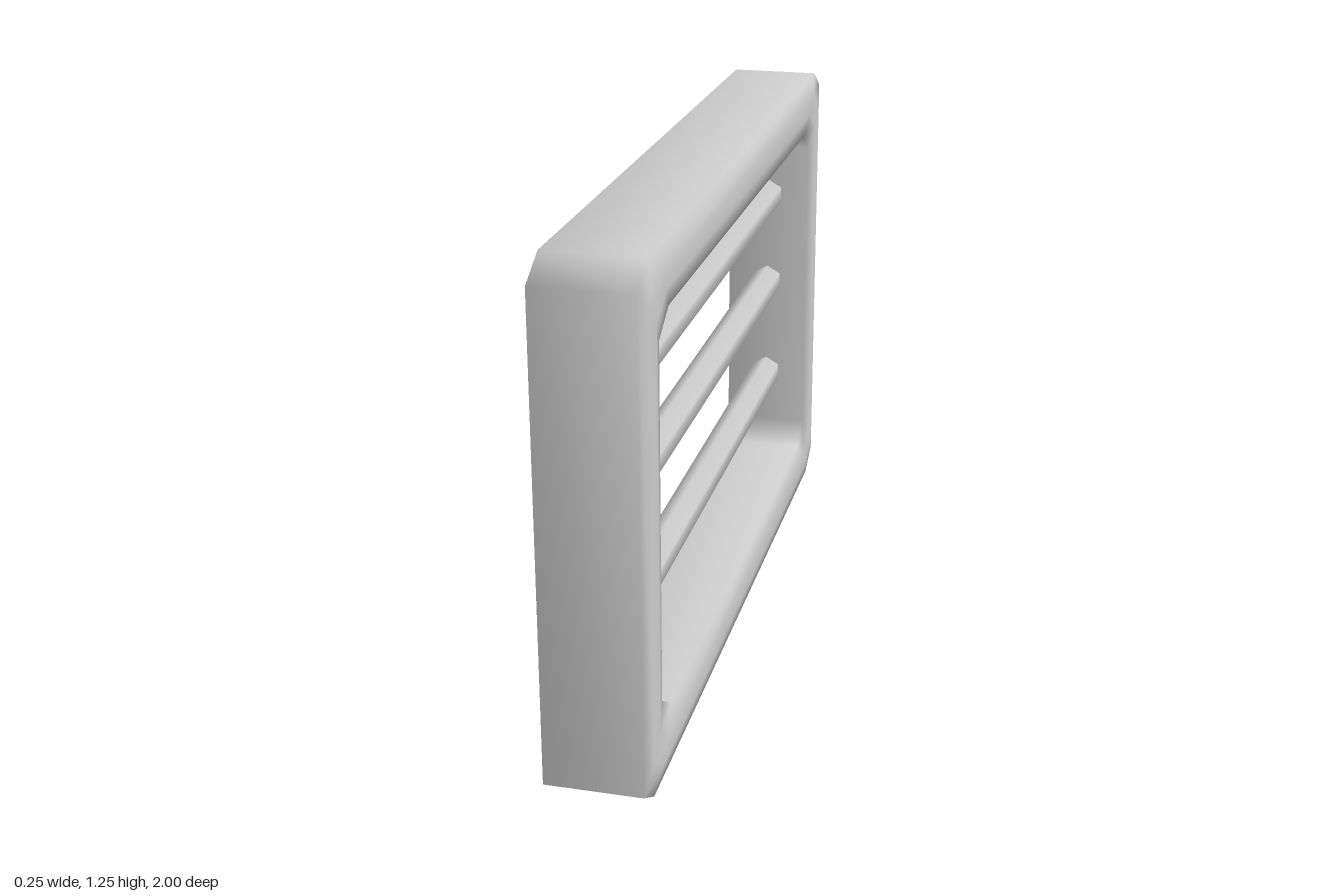
import * as THREE from 'three';

const material = new THREE.MeshStandardMaterial({ color: 0xcccccc });
const CENTRE_Y = 0.625;

// Rectangle with cut corners, as [z, y] pairs running from +z towards +y
function cutRectangle(halfZ, halfY, cutZ, cutY) {
  const points = [];
  for (const [sz, sy] of [[1, 1], [-1, 1], [-1, -1], [1, -1]]) {
    const pair = [
      [sz * halfZ, sy * (halfY - cutY)],
      [sz * (halfZ - cutZ), sy * halfY],
    ];
    points.push(...(sz * sy > 0 ? pair : pair.reverse()));
  }
  return points;
}

// Closed ring: a slightly bevelled section carried round the outline
function frameGeometry() {
  const outer = cutRectangle(1, 0.625, 0.085, 0.05);
  const inner = cutRectangle(0.84, 0.475, 0.08, 0.05);
  // [x, blend from outer outline to inner outline]
  const half = [[0.115, 0], [0.125, 0.35], [0.125, 0.65], [0.115, 1]];
  const section = [...half, ...half.map(([x, t]) => [-x, t]).reverse()];
  const n = outer.length, m = section.length;
  const positions = [], index = [];
  for (let i = 0; i < n; i++) {
    for (let j = 0; j < m; j++) {
      const [x, t] = section[j];
      positions.push(
        x,
        CENTRE_Y + THREE.MathUtils.lerp(outer[i][1], inner[i][1], t),
        THREE.MathUtils.lerp(outer[i][0], inner[i][0], t),
      );
      const a = i * m + j, b = i * m + (j + 1) % m;
      const c = ((i + 1) % n) * m + j, d = ((i + 1) % n) * m + (j + 1) % m;
      index.push(a, b, c, b, d, c);
    }
  }
  const geometry = new THREE.BufferGeometry();
  geometry.setAttribute('position', new THREE.Float32BufferAttribute(positions, 3));
  geometry.setIndex(index);
  geometry.computeVertexNormals();
  return geometry;
}

export function createModel() {
  const group = new THREE.Group();
  group.name = 'barredWindow';

  const frame = new THREE.Mesh(frameGeometry(), material);
  frame.name = 'frame';
  group.add(frame);

  // Six-sided bars, with their ends just inside the frame
  const barGeometry = new THREE.CylinderGeometry(0.043, 0.043, 1.7, 6).rotateX(Math.PI / 2);
  [0.355, 0.643, 0.905].forEach((y, i) => {
    const bar = new THREE.Mesh(barGeometry, material);
    bar.name = `bar${i + 1}`;
    bar.position.y = y;
    group.add(bar);
  });

  return group;
}
